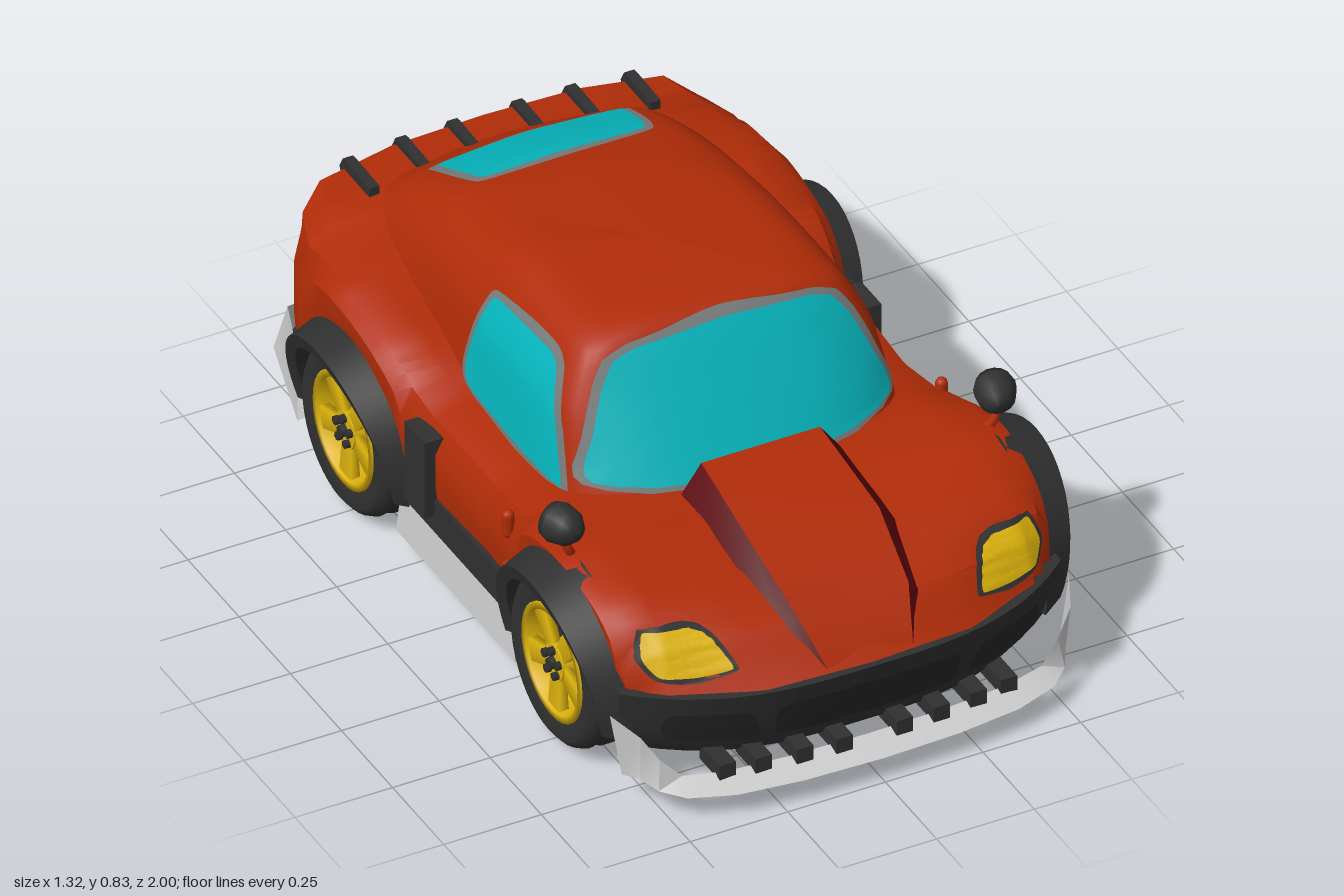
import * as THREE from 'three';
import { toCreasedNormals } from 'three/addons/utils/BufferGeometryUtils.js';

const V = (x, y, z) => new THREE.Vector3(x, y, z);
const { clamp, lerp } = THREE.MathUtils;
const mat = (name, color, side = THREE.FrontSide) => {
  const m = new THREE.MeshStandardMaterial({ color, side });
  m.name = name;
  return m;
};

// Skin stretched over rows of points
function grid(rows, crease = 0.6) {
  const n = rows[0].length, idx = [];
  for (let i = 0; i < rows.length - 1; i++) for (let j = 0; j < n - 1; j++) {
    const a = i * n + j, b = a + 1, c = a + n, d = c + 1;
    idx.push(a, b, c, b, d, c);
  }
  const g = new THREE.BufferGeometry().setFromPoints(rows.flat());
  g.setIndex(idx);
  return toCreasedNormals(g, crease);
}

function mirrored(geo) {
  const g = geo.index ? geo.toNonIndexed() : geo.clone();
  g.scale(-1, 1, 1);
  for (const a of Object.values(g.attributes)) for (let i = 0; i < a.count; i += 3) for (let k = 0; k < a.itemSize; k++) {
    const p = (i + 1) * a.itemSize + k, q = p + a.itemSize, t = a.array[p];
    a.array[p] = a.array[q];
    a.array[q] = t;
  }
  return g;
}

const box = (w, h, d, x, y, z) => new THREE.BoxGeometry(w, h, d).translate(x, y, z);
const lathe = (pts, seg = 32) => new THREE.LatheGeometry(pts.map(p => new THREE.Vector2(...p)), seg);
const tube = (pts, r) => new THREE.TubeGeometry(new THREE.CatmullRomCurve3(pts.map(p => V(...p))), 16, r, 10);
const symmetric = half => [...half, ...half.slice(1, -1).reverse().map(p => V(-p.x, p.y, p.z))];

// Body: z, centre height, fender height, fender x, half width
const KEYS = [
  [0.94, 0.30, 0.285, 0.47, 0.53], [0.84, 0.39, 0.385, 0.46, 0.545], [0.68, 0.445, 0.47, 0.45, 0.56],
  [0.5, 0.475, 0.503, 0.43, 0.57], [0.36, 0.485, 0.495, 0.43, 0.565], [0.1, 0.47, 0.455, 0.45, 0.55],
  [-0.2, 0.47, 0.47, 0.45, 0.56], [-0.38, 0.5, 0.54, 0.46, 0.58], [-0.6, 0.58, 0.585, 0.48, 0.585],
  [-0.78, 0.62, 0.6, 0.48, 0.575], [-0.96, 0.62, 0.605, 0.44, 0.53]];
const AXLES = [0.5, -0.52], AXLE_Y = 0.215;

function bodySection(z) {
  let k = 0;
  while (k < KEYS.length - 2 && z < KEYS[k + 1][0]) k++;
  const a = KEYS[k], b = KEYS[k + 1], t = clamp((a[0] - z) / (a[0] - b[0]), 0, 1);
  const [, T, F, xf, w] = a.map((v, i) => lerp(v, b[i], t));
  const floor = z < -0.77 ? 0.21 : 0.11;
  let low = z > 0.74 ? 0.18 : 0.215;
  for (const c of AXLES) if (Math.abs(z - c) < 0.235) low = AXLE_Y + Math.sqrt(0.235 ** 2 - (z - c) ** 2);
  const half = [[0, T], [xf * 0.55, lerp(T, F, 0.2)], [xf, F], [w - 0.03, lerp(F, low, 0.12)], [w, lerp(F, low, 0.35)],
    [w, lerp(F, low, 0.7)], [w - 0.01, low], [0.36, low], [0.36, floor], [0, floor]];
  const ring = symmetric(half.map(([x, y]) => {
    const s = Math.abs(x / 0.55) ** 3;
    const bend = -0.16 * s * clamp((z - 0.74) / 0.2, 0, 1) + 0.07 * s * clamp((-0.77 - z) / 0.19, 0, 1);
    const tuck = 0.045 * clamp((0.6 - y) / 0.13, 0, 1) * clamp((-0.9 - z) / 0.06, 0, 1);
    const chin = -0.14 * clamp((0.285 - y) / 0.05, 0, 1) * clamp((z - 0.76) / 0.18, 0, 1);
    return V(x, y, z + bend + tuck + chin);
  }));
  return [...ring, ring[0]];
}

function bodyGeometry() {
  const rows = [];
  for (let i = 0; i <= 76; i++) rows.push(bodySection(0.94 - i * 0.025));
  const cap = (y, z) => rows[0].map(() => V(0, y, z));
  return grid([cap(0.2, 0.8), ...rows, cap(0.4, -0.915)]);
}

// Cabin: rings from belt line to roof, smoothed both ways
function cabinGeometry() {
  const rings = [
    [[0, .47, .395], [.25, .47, .37], [.425, .45, .25], [.43, .44, -.25], [.42, .5, -.72], [.32, .58, -.87], [0, .6, -.91]],
    [[0, .66, .28], [.24, .66, .262], [.393, .65, .18], [.397, .65, -.23], [.375, .66, -.58], [.29, .67, -.76], [0, .685, -.77]],
    [[0, .8, .185], [.21, .795, .178], [.33, .77, .14], [.338, .765, -.2], [.32, .745, -.45], [.26, .745, -.58], [0, .755, -.6]],
    [[0, .826, .1], [.16, .822, .1], [.25, .812, .06], [.255, .81, -.2], [.22, .79, -.36], [.16, .787, -.42], [0, .793, -.43]],
    Array(7).fill([0, .829, -.1])];
  const loops = rings.map(r => new THREE.CatmullRomCurve3(symmetric(r.map(p => V(...p))), true, 'catmullrom', 0.35));
  const N = 72, M = 24, columns = [];
  for (let j = 0; j <= N; j++) columns.push(new THREE.CatmullRomCurve3(loops.map(l => l.getPoint(j / N)), false, 'catmullrom', 0.35).getPoints(M));
  return grid(Array.from({ length: M + 1 }, (_, i) => columns.map(c => c[i])), 1);
}

// Thin panel outlined in one view and laid on a surface, widened by a margin
const VIEWS = {
  front: [(a, b) => V(a, b, 2), V(0, 0, -1), 1], back: [(a, b) => V(a, b, -2), V(0, 0, 1), -1],
  side: [(a, b) => V(2, b, a), V(-1, 0, 0), -1], top: [(a, b) => V(a, 2, b), V(0, -1, 0), -1]};
function panel(target, view, outline, offset, margin = 0) {
  const [origin, dir, hand] = VIEWS[view], ray = new THREE.Raycaster();
  const pts = new THREE.CatmullRomCurve3(outline.map(p => V(p[0], p[1], 0)), true, 'catmullrom', 0.25).getPoints(60);
  const c = pts.slice(1).reduce((s, p) => s.add(p), V(0, 0, 0)).divideScalar(60);
  if (THREE.ShapeUtils.area(pts) * hand > 0) pts.reverse();
  const rows = [0, 1, 2, 3, 4, 5, 6, 7, 8, 9, 10].map(k => pts.map(p => {
    for (let s = k / 10 * (1 + margin / p.distanceTo(c)); s >= 0; s -= 0.02) {
      ray.set(origin(lerp(c.x, p.x, s), lerp(c.y, p.y, s)), dir);
      const hit = ray.intersectObject(target)[0];
      if (hit) return hit.point.addScaledVector(hit.face.normal, offset);
    }
    return origin(c.x, c.y);
  }));
  return grid(rows, 1);
}

// Wrap-around bumper from levels of height, width scale and depth scale
function bumper(w, front, drop, end, levels) {
  return grid(levels.map(([y, sx, sz]) => {
    const row = [V(-w * sx, y, end * sz)];
    for (let s = -1; s <= 1.001; s += 0.1) row.push(V(w * s * sx, y, (front - drop * Math.abs(s) ** 3) * sz));
    return [...row, V(w * sx, y, end * sz)];
  }));
}

export function createModel() {
  const car = new THREE.Group();
  car.name = 'sportsCar';
  const red = mat('bodyRed', 0xb02c08, THREE.DoubleSide), maroon = mat('scoopRed', 0x5a050b, THREE.DoubleSide);
  const glass = mat('glassCyan', 0x06b4bc), yellow = mat('lampYellow', 0xdcb20c), dark = mat('trimCharcoal', 0x303030);
  const black = mat('grilleBlack', 0x262626), grey = mat('sealGrey', 0x757b7b);
  const silver = mat('aeroSilver', 0xcccccc, THREE.DoubleSide);
  const add = (name, geo, material, both = false) => {
    const m = new THREE.Mesh(geo, material);
    m.name = name;
    car.add(m);
    if (both) {
      m.name = name + 'Left';
      add(name + 'Right', mirrored(geo), material);
    }
    return m;
  };

  const body = add('body', bodyGeometry(), red);
  const cabin = add('cabin', cabinGeometry(), red);

  // Windows with seals
  const windows = [
    ['windshield', 'front', [[-.375, .51], [0, .485], [.375, .51], [.355, .61], [.315, .705], [.278, .755], [.21, .776], [0, .788], [-.21, .776], [-.278, .755], [-.315, .705], [-.355, .61]]],
    ['sideWindow', 'side', [[.23, .49], [.175, .61], [.115, .715], [.06, .735], [-.18, .722], [-.205, .68], [-.236, .53], [-.195, .482], [.21, .478]]],
    ['rearWindow', 'top', [[-.225, -.74], [0, -.75], [.225, -.74], [.235, -.72], [.205, -.57], [0, -.56], [-.205, -.57], [-.235, -.72]]]];
  for (const [name, view, outline] of windows) {
    add(name + 'Seal', panel(cabin, view, outline, 0.006, 0.02), grey, view === 'side');
    add(name, panel(cabin, view, outline, 0.0095), glass, view === 'side');
  }

  // Hood scoop: red ramp with dark cheeks
  const ramp = [[.925, .308, .11, .125, .28], [.84, .412, .143, .185, .365], [.66, .5, .162, .222, .43], [.39, .556, .152, .222, .46]];
  add('scoopRamp', grid(ramp.map(([z, y, x]) => [V(-x, y, z), V(x, y, z)])), red);
  add('scoopCheek', grid(ramp.map(([z, y, x, o, f]) => [V(x, y, z), V(o, f, z)])), maroon, true);
  add('scoopBack', grid([[V(-.152, .556, .39), V(.152, .556, .39)], [V(-.222, .46, .39), V(.222, .46, .39)]]), maroon);

  // Headlights
  const lamp = [[.318, .338], [.345, .39], [.38, .41], [.488, .416], [.506, .37], [.478, .332], [.4, .327]];
  add('headlightSurround', panel(body, 'front', lamp, 0.004, 0.013), dark, true);
  add('headlight', panel(body, 'front', lamp, 0.009), yellow, true);

  // Front bumper, chin plate, grille panels, splitter and its struts
  const nose = add('frontBumper', bumper(.565, .95, .17, .72, [[.1, .9, .93], [.14, .97, .95], [.2, .99, .97], [.295, 1, 1], [.295, .6, .7]]), dark);
  add('chinPlate', bumper(.565, .95, .17, .72, [[.1, .6, .75], [.1, .9, .93]]), red);
  add('centreGrille', panel(nose, 'front', [[-.23, .17], [-.2, .15], [.2, .15], [.23, .17], [.21, .245], [-.21, .245]], 0.006), black);
  add('sideGrille', panel(nose, 'front', [[.27, .16], [.45, .16], [.48, .2], [.46, .245], [.3, .24]], 0.006), black, true);
  const blade = (...edges) => grid(edges.map(e => e.map(p => V(...p))));
  add('splitter', blade(
    [[0, .066, .995], [.2, .066, .988], [.36, .066, .968], [.47, .068, .93], [.52, .076, .885], [.545, .09, .84], [.56, .07, .78]],
    [[0, .088, .92], [.2, .088, .915], [.36, .088, .9], [.46, .1, .885], [.51, .15, .87], [.55, .215, .855], [.588, .24, .775]]), silver, true);
  for (const x of [0.077, 0.175, 0.275, 0.36]) add('splitterStrut', box(.042, .04, .1, x, .1, .9 - x * x * .25), dark, true);

  // Sills, side intakes and door hinges
  add('doorSkirt', box(.07, .09, .56, .525, .21, -.015), dark, true);
  add('sill', box(.16, .12, .58, .455, .135, -.02), red, true);
  add('rockerPanel', box(.02, .115, .58, 0, 0, 0).rotateZ(.12).translate(.55, .118, -.02), silver, true);
  add('sideIntake', box(.06, .21, .1, .555, .315, -.185), dark, true);
  for (const y of [0.41, 0.27]) add('doorHinge', new THREE.CapsuleGeometry(.015, .045, 4, 10).translate(.555, y, .215), red, true);

  // Wheels and flared arches
  AXLES.forEach((zc, n) => {
    const end = n ? 'rear' : 'front';
    const part = (name, geo, m) => add(end + name, geo.rotateZ(-Math.PI / 2).translate(.49, AXLE_Y, zc), m, true);
    part('Tire', lathe([[.14, -.1], [.185, -.11], [.205, -.095], [.213, -.07], [.204, -.053], [.213, -.035], [.213, -.01], [.204, .002],
      [.213, .015], [.213, .04], [.204, .055], [.211, .075], [.203, .095], [.185, .11], [.145, .1]], 40), dark);
    part('RimBarrel', lathe([[.03, -.05], [.14, -.1], [.146, -.1], [.146, .104], [.128, .104], [.122, .06], [.118, .0]], 32), yellow);
    part('BrakeDisc', new THREE.CylinderGeometry(.121, .121, .02, 32).translate(0, .015, 0), dark);
    part('BrakeCaliper', box(.03, .03, .06, -.1, .035, 0), red);
    part('Hub', new THREE.CylinderGeometry(.046, .05, .035, 20).translate(0, .08, 0), yellow);
    part('HubCap', new THREE.CylinderGeometry(.014, .016, .02, 12).translate(0, .102, 0), dark);
    for (let i = 0; i < 5; i++) {
      const a = i * Math.PI * 2 / 5;
      const spoke = new THREE.CylinderGeometry(.042, .03, .11, 4, 1).rotateY(Math.PI / 4).scale(.4, 1, 1);
      part('Spoke', spoke.rotateZ(-Math.PI / 2).translate(.08, .085, 0).rotateY(a), yellow);
      part('WheelNut', new THREE.CylinderGeometry(.011, .011, .02, 6).translate(.032, .1, 0).rotateY(a + Math.PI / 5), dark);
    }
    const rows = [], reach = n ? .06 : .048;
    for (let i = 0; i <= 28; i++) {
      const a = lerp(-.25, Math.PI + .25, i / 28), s = Math.sin(a);
      const p = (r, x) => V(x, AXLE_Y + r * s, zc + r * Math.cos(a));
      const outer = p(.28, .53);
      rows.push([outer, p(.242, .6 + reach * s), p(.208, .59 + reach * s), p(.222, .5), outer]);
    }
    add(end + 'ArchFlare', grid(rows), dark, true);
    add(end + 'Axle', new THREE.CylinderGeometry(.025, .025, .9, 10).rotateZ(Math.PI / 2).translate(0, AXLE_Y, zc), dark);
  });

  // Door mirrors on stalks
  const at = g => g.rotateY(-.35).translate(.555, .575, .48);
  add('mirrorShell', at(lathe([[0, -.035], [.044, -.035], [.05, -.015], [.043, .025], [.025, .047], [0, .055]], 16).rotateX(Math.PI / 2)), dark, true);
  add('mirrorGlass', at(new THREE.CircleGeometry(.04, 20).rotateY(Math.PI).translate(0, 0, -.038)), glass, true);
  add('mirrorStalk', tube([[.555, .545, .485], [.545, .51, .49], [.515, .465, .47]], .011), red, true);
  add('mirrorFoot', new THREE.SphereGeometry(.022, 12, 8).scale(1, .6, 1).translate(.515, .475, .46), red, true);

  // Tail: panel, lamps, bumper, side blades and lip fins
  add('tailPanel', panel(body, 'back', [[-.49, .27], [.49, .27], [.51, .345], [.24, .355], [.22, .42], [-.22, .42], [-.24, .355], [-.51, .345]], 0.006), dark);
  add('rearBumper', bumper(.56, .93, .1, .79, [[.17, .6, .7], [.17, .97, .95], [.29, 1, 1], [.29, .6, .7]]).rotateY(Math.PI), dark);
  [[.3, silver, 'reverseLamp'], [.39, red, 'brakeLamp'], [.477, red, 'tailLamp']].forEach(([x, m, name]) => {
    const z = -.915 + .07 * (x / .55) ** 3;
    add(name, new THREE.CylinderGeometry(.036, .036, .06, 20).rotateX(Math.PI / 2).translate(x, .4, z), m, true);
    add(name + 'Bezel', new THREE.TorusGeometry(.038, .006, 8, 20).translate(x, .4, z - .022), grey, true);
  });
  add('rearBlade', blade(
    [[.1, .085, -.78], [.4, .08, -.77], [.5, .08, -.77], [.575, .08, -.77]],
    [[.1, .165, -.995], [.44, .165, -1], [.54, .15, -.96], [.58, .08, -.765]],
    [[.1, .24, -.965], [.42, .255, -.962], [.525, .285, -.92], [.575, .28, -.78]]), silver, true);
  const fin = new THREE.Shape([[-.83, .632], [-.945, .636], [-.96, .634], [-.976, .605], [-.93, .49], [-.9, .49], [-.94, .59], [-.83, .59]].map(p => new THREE.Vector2(...p)));
  for (const x of [.083, .217, .36]) {
    const g = new THREE.ExtrudeGeometry(fin, { depth: .026, bevelEnabled: false }).rotateY(-Math.PI / 2);
    add('lipFin', g.translate(x + .013, 0, .07 * (x / .55) ** 3), dark, true);
  }

  // Underside: tunnel, exhausts and tips
  add('floorTunnel', box(.34, .05, 1.3, 0, .095, -.05), black);
  add('driveShaft', new THREE.CylinderGeometry(.035, .035, 1.1, 10).rotateX(Math.PI / 2).translate(0, .085, -.05), dark);
  add('gearbox', box(.34, .1, .26, 0, .13, -.66), black);
  add('exhaustPipe', tube([[.2, .1, .5], [.27, .09, .3], [.27, .09, -.4], [.2, .1, -.65], [.06, .15, -.82], [.05, .17, -.88]], .042), dark, true);
  for (const [x, y] of [[.05, .215], [.045, .135]]) {
    add('exhaustTip', lathe([[.026, -.08], [.038, -.08], [.038, .07], [.028, .07], [.026, .02], [0, .02]], 16).rotateX(-Math.PI / 2).translate(x, y, -.885), dark, true);
  }
  return car;
}
